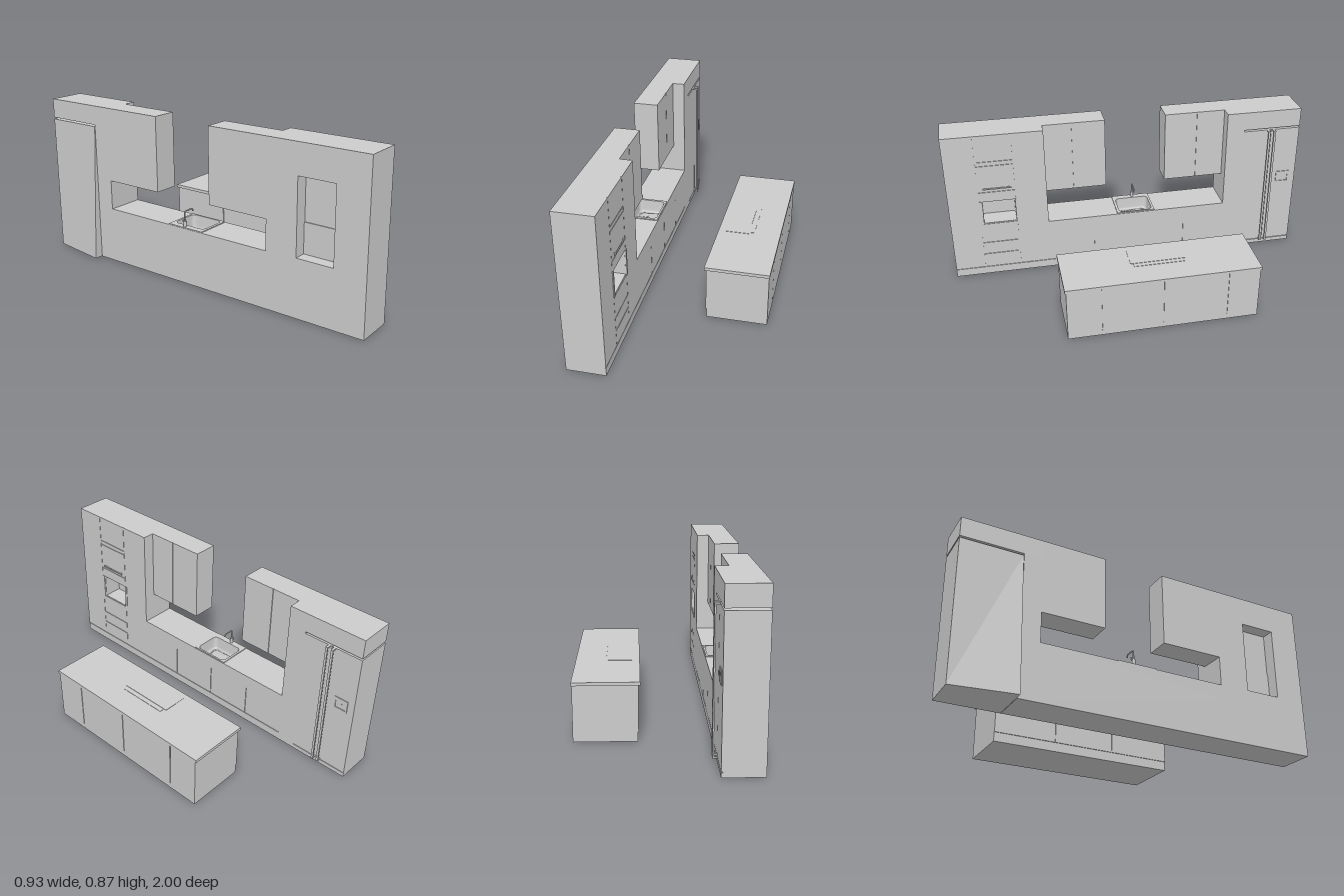
import * as THREE from 'three';

const grey = new THREE.MeshStandardMaterial({ color: 0xcccccc });
const greyBoth = new THREE.MeshStandardMaterial({ color: 0xcccccc, side: THREE.DoubleSide });

function add(parent, name, geometry, material = grey) {
  const mesh = new THREE.Mesh(geometry, material);
  mesh.name = name;
  parent.add(mesh);
  return mesh;
}

// Box given by its limits on each axis
function box(parent, name, [x0, x1], [y0, y1], [z0, z1]) {
  const g = new THREE.BoxGeometry(x1 - x0, y1 - y0, z1 - z0);
  g.translate((x0 + x1) / 2, (y0 + y1) / 2, (z0 + z1) / 2);
  return add(parent, name, g);
}

function rectPath(Type, u0, u1, v0, v1) {
  const p = new Type();
  p.moveTo(u0, v0).lineTo(u1, v0).lineTo(u1, v1).lineTo(u0, v1).closePath();
  return p;
}

// Upright slab facing x with one rectangular hole; limits are [z0, z1, y0, y1]
function slabWithHole(parent, name, [x0, x1], o, h) {
  const s = rectPath(THREE.Shape, -o[1], -o[0], o[2], o[3]);
  s.holes.push(rectPath(THREE.Path, -h[1], -h[0], h[2], h[3]));
  const g = new THREE.ExtrudeGeometry(s, { depth: x1 - x0, bevelEnabled: false });
  g.rotateY(Math.PI / 2).translate(x0, 0, 0);
  return add(parent, name, g);
}

// Row of door panels between successive z limits, with narrow gaps
function doors(parent, name, x, y, zs) {
  for (let i = 0; i < zs.length - 1; i++)
    box(parent, name, x, y, [zs[i] + (i ? 0.002 : 0), zs[i + 1] - (i < zs.length - 2 ? 0.002 : 0)]);
}

function roundedPoints(x0, x1, z0, z1, r, n = 5) {
  const pts = [];
  [[x1 - r, z1 - r], [x0 + r, z1 - r], [x0 + r, z0 + r], [x1 - r, z0 + r]].forEach(([cx, cz], q) => {
    for (let i = 0; i <= n; i++) {
      const a = (q + i / n) * Math.PI / 2;
      pts.push(new THREE.Vector2(cx + r * Math.cos(a), cz + r * Math.sin(a)));
    }
  });
  return pts;
}

// Horizontal plate with a rounded hole; rotation maps shape y to z
function plateWithHole(parent, name, [x0, x1], [y0, y1], [z0, z1], hole) {
  const s = rectPath(THREE.Shape, x0, x1, z0, z1);
  s.holes.push(new THREE.Path(hole));
  const g = new THREE.ExtrudeGeometry(s, { depth: y1 - y0, bevelEnabled: false });
  g.rotateX(Math.PI / 2).translate(0, y1, 0);
  return add(parent, name, g);
}

// Sink bowl lofted through rounded rings, closed by a floor
function bowlGeometry(rings) {
  const pos = [], idx = [], n = rings[0].pts.length;
  rings.forEach(({ y, pts }) => pts.forEach(p => pos.push(p.x, y, p.y)));
  for (let k = 0; k < rings.length - 1; k++)
    for (let i = 0; i < n; i++) {
      const a = k * n + i, b = k * n + (i + 1) % n;
      idx.push(a, b, a + n, b, b + n, a + n);
    }
  const last = (rings.length - 1) * n;
  for (let i = 1; i < n - 1; i++) idx.push(last, last + i + 1, last + i);
  const g = new THREE.BufferGeometry();
  g.setAttribute('position', new THREE.Float32BufferAttribute(pos, 3));
  g.setIndex(idx);
  g.computeVertexNormals();
  return g;
}

function tube(parent, name, points, r) {
  const path = new THREE.CatmullRomCurve3(points.map(p => new THREE.Vector3(...p)), false, 'catmullrom', 0.1);
  return add(parent, name, new THREE.TubeGeometry(path, 24, r, 8), greyBoth);
}

const BACK = -0.42, FRONT = -0.218, TOP = 0.87, DESK = 0.305;

function ovenTower() {
  const g = new THREE.Group();
  g.name = 'ovenTower';
  const outer = [0.457, 1, 0, TOP];
  slabWithHole(g, 'backCase', [BACK, -0.35], outer, [0.63, 0.83, 0.31, 0.71]);
  box(g, 'middleCase', [-0.35, -0.33], [0, TOP], [0.457, 1]);
  slabWithHole(g, 'frontCase', [-0.33, -0.222], outer, [0.635, 0.815, 0.335, 0.47]);
  box(g, 'ovenBack', [-0.355, -0.35], [0.31, 0.47], [0.63, 0.83]);
  // Front skin: side doors, drawers, oven frame
  box(g, 'plinth', [-0.222, FRONT], [0, 0.045], [0.457, 1]);
  box(g, 'sideDoor', [-0.222, FRONT], [0.049, TOP], [0.834, 1]);
  box(g, 'sideDoor', [-0.222, FRONT], [0.049, TOP], [0.457, 0.63]);
  [[0.049, 0.133], [0.137, 0.208], [0.212, 0.33], [0.475, 0.53], [0.534, 0.69], [0.694, 0.715], [0.719, TOP]]
    .forEach(y => box(g, 'drawerFront', [-0.222, FRONT], y, [0.632, 0.832]));
  for (const z of [0.62, 0.818]) box(g, 'ovenFrameSide', [-0.222, -0.215], [0.33, 0.475], [z, z + 0.014]);
  // Oven handle on two posts
  box(g, 'ovenHandle', [-0.212, -0.207], [0.551, 0.558], [0.65, 0.805]);
  for (const z of [0.66, 0.79]) box(g, 'handlePost', [-0.22, -0.21], [0.551, 0.558], [z, z + 0.006]);
  return g;
}

function fridgeTower() {
  const g = new THREE.Group();
  g.name = 'fridgeTower';
  box(g, 'sidePanel', [BACK, FRONT], [0, 0.765], [-0.672, -0.57]);
  box(g, 'topCupboard', [BACK, FRONT], [0.765, TOP], [-1, -0.57]);
  // Body with one rear foot corner drawn outwards
  const body = box(g, 'fridgeBody', [BACK, -0.225], [0, 0.755], [-1, -0.675]);
  const p = body.geometry.attributes.position;
  for (let i = 0; i < p.count; i++)
    if (p.getX(i) < -0.4 && p.getY(i) < 0.01 && p.getZ(i) > -0.7) p.setX(i, -0.466);
  body.geometry = body.geometry.toNonIndexed();
  body.geometry.computeVertexNormals();
  doors(g, 'fridgeDoor', [-0.225, FRONT], [0.028, 0.755], [-1, -0.83, -0.672]);
  box(g, 'fridgePlinth', [-0.225, FRONT], [0, 0.024], [-1, -0.672]);
  // Tall twin handles
  for (const z of [-0.852, -0.82]) {
    box(g, 'fridgeHandle', [-0.2, -0.193], [0.028, 0.755], [z, z + 0.012]);
    for (const y of [0.028, 0.747]) box(g, 'handleBracket', [FRONT, -0.2], [y, y + 0.008], [z, z + 0.012]);
  }
  // Water dispenser
  slabWithHole(g, 'dispenserFrame', [FRONT, -0.214], [-0.962, -0.885, 0.412, 0.482], [-0.954, -0.893, 0.42, 0.46]);
  box(g, 'dispenserSpout', [FRONT, -0.214], [0.45, 0.46], [-0.93, -0.915]);
  return g;
}

function baseRun() {
  const g = new THREE.Group();
  g.name = 'baseRun';
  const z = [-0.57, 0.457];
  box(g, 'lowerCase', [BACK, -0.222], [0, 0.225], z);
  const hole = roundedPoints(-0.383, -0.232, -0.145, 0.045, 0.022);
  plateWithHole(g, 'counter', [BACK, FRONT], [0.225, DESK], z, hole);
  box(g, 'plinth', [-0.222, FRONT], [0, 0.045], z);
  doors(g, 'baseDoor', [-0.222, FRONT], [0.049, 0.225], [-0.57, -0.33, -0.07, 0.2, 0.457]);
  // Sink: rim, bowl, drain
  plateWithHole(g, 'sinkRim', [-0.418, -0.222], [DESK, 0.31], [-0.158, 0.06], hole);
  add(g, 'sinkBowl', bowlGeometry([[0, 0.31], [0.004, 0.25], [0.008, 0.238], [0.02, 0.23]].map(([d, y]) =>
    ({ y, pts: roundedPoints(-0.383 + d, -0.232 - d, -0.145 + d, 0.045 - d, 0.022) }))), greyBoth);
  const drain = add(g, 'drain', new THREE.CylinderGeometry(0.016, 0.016, 0.004, 20));
  drain.position.set(-0.335, 0.231, -0.1);
  // Tap with a long level spout and a side lever
  const foot = add(g, 'tapBase', new THREE.CylinderGeometry(0.009, 0.009, 0.03, 16));
  foot.position.set(-0.403, 0.325, -0.06);
  tube(g, 'tapSpout', [[-0.403, 0.31, -0.06], [-0.403, 0.385, -0.06], [-0.396, 0.392, -0.06], [-0.345, 0.392, -0.06], [-0.338, 0.378, -0.06]], 0.004);
  tube(g, 'tapLever', [[-0.403, 0.33, -0.06], [-0.403, 0.335, -0.072], [-0.403, 0.35, -0.075]], 0.003);
  return g;
}

function wallCupboard(z0, z1, split) {
  const g = new THREE.Group();
  g.name = 'wallCupboard';
  box(g, 'case', [BACK, -0.289], [0.467, TOP], [z0, z1]);
  doors(g, 'wallDoor', [-0.289, -0.285], [0.467, TOP], [z0, split, z1]);
  return g;
}

function island() {
  const g = new THREE.Group();
  g.name = 'island';
  const z = [-0.57, 0.45];
  box(g, 'islandCase', [0.145, 0.458], [0, 0.29], z);
  box(g, 'islandTop', [0.131, 0.465], [0.29, 0.307], [-0.577, 0.456]);
  doors(g, 'innerDoor', [0.14, 0.145], [0.05, 0.288], [-0.57, -0.23, 0.11, 0.45]);
  box(g, 'outerPlinth', [0.458, 0.462], [0, 0.03], z);
  doors(g, 'outerDoor', [0.458, 0.462], [0.03, 0.29], [-0.57, -0.4, -0.055, 0.27, 0.45]);
  // Hob and the vent strip beside it
  box(g, 'hob', [0.165, 0.297], [0.306, 0.309], [-0.212, 0.088]);
  box(g, 'vent', [0.306, 0.325], [0.306, 0.309], [-0.197, 0.073]);
  return g;
}

export function createModel() {
  const model = new THREE.Group();
  model.name = 'kitchen';
  model.add(ovenTower(), fridgeTower(), baseRun(), island());
  model.add(wallCupboard(0.113, 0.457, 0.3), wallCupboard(-0.57, -0.228, -0.41));
  return model;
}
